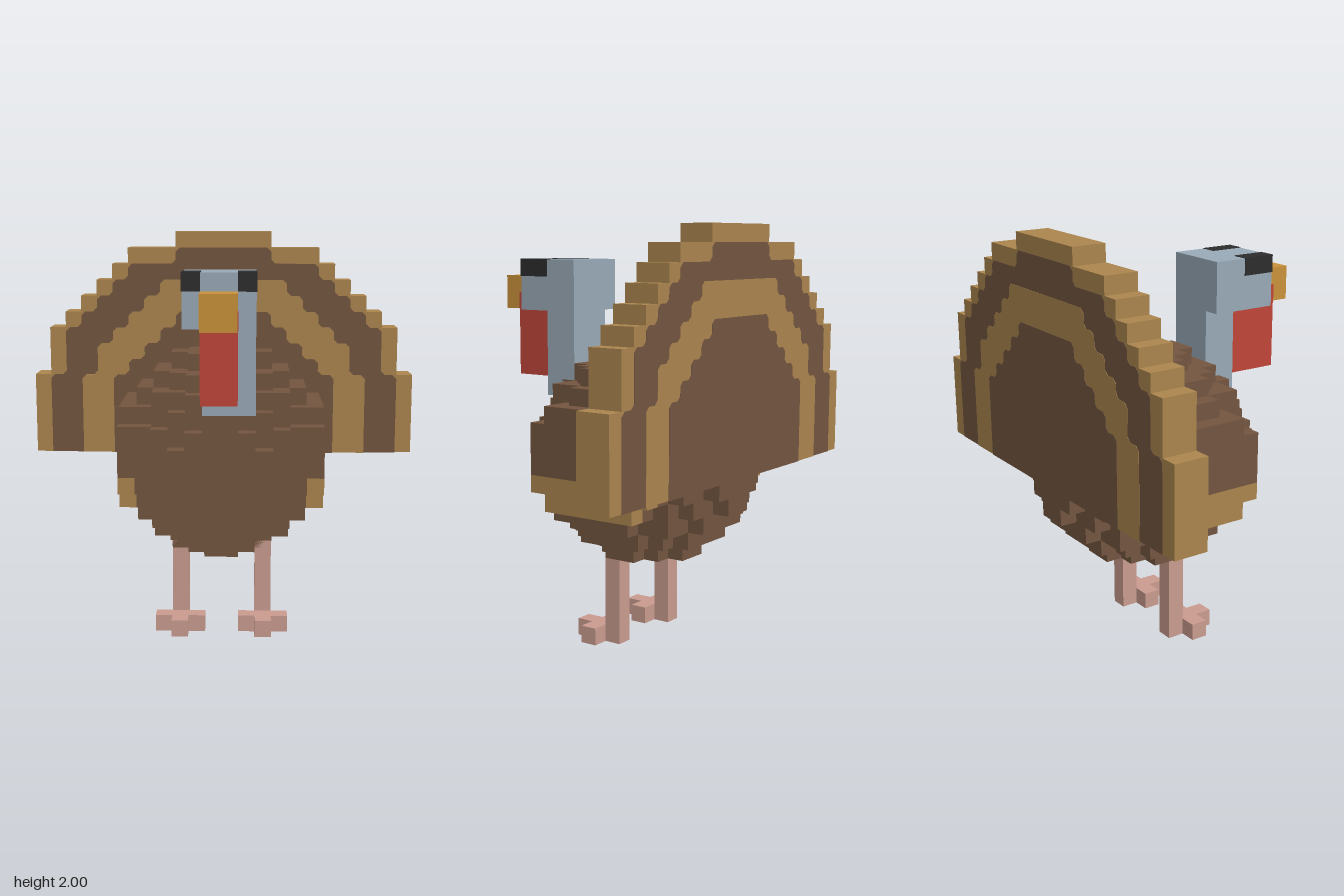
import * as THREE from 'three';
import { mergeGeometries } from 'three/addons/utils/BufferGeometryUtils.js';

const mat = (name, color) => {
  const m = new THREE.MeshStandardMaterial({ color });
  m.name = name;
  return m;
};

// Box between two corners, in blocks (12 blocks = 1 unit)
const block = (x0, x1, y0, y1, z0, z1) =>
  new THREE.BoxGeometry(x1 - x0, y1 - y0, z1 - z0)
    .translate((x0 + x1) / 2, (y0 + y1) / 2, (z0 + z1) / 2);

// Symmetric stepped outline from [halfWidth, topY] rows, with optional cut corners
function steppedShape(bottom, rows, cut) {
  const right = [];
  let y = bottom;
  for (const [w, top] of rows) {
    right.push([w, y], [w, top]);
    y = top;
  }
  const pts = [...right, ...right.map(([x, v]) => [-x, v]).reverse()]
    .map(([x, v]) => new THREE.Vector2(x, v));
  if (!cut) return new THREE.Shape(pts);
  const out = [];
  pts.forEach((p, i) => {
    if (p.y === bottom) return out.push(p);
    for (const q of [pts[(i + pts.length - 1) % pts.length], pts[(i + 1) % pts.length]]) {
      out.push(p.clone().add(q.clone().sub(p).setLength(cut)));
    }
  });
  return new THREE.Shape(out);
}

export function createModel() {
  const brown = mat('brown feathers', 0x735540);
  const tan = mat('tan feathers', 0xaa854e);
  const grey = mat('blue grey skin', 0x98a9b6);
  const red = mat('red wattle', 0xbf453a);
  const orange = mat('orange beak', 0xc9913a);
  const black = mat('black eyes', 0x2d2d2d);
  const pink = mat('pink legs', 0xc99b8f);

  const model = new THREE.Group();
  model.name = 'turkey';
  model.scale.setScalar(1 / 12);
  const add = (name, geometries, material) => {
    const list = [].concat(geometries);
    const mesh = new THREE.Mesh(list.length > 1 ? mergeGeometries(list) : list[0], material);
    mesh.name = name;
    model.add(mesh);
  };

  // Body: a ball of blocks, one bar per row
  const bars = [];
  for (let j = -6; j < 6; j++) {
    for (let k = -6; k < 6; k++) {
      const left = 37.6 - (j + 0.5) ** 2 - (k + 0.5) ** 2;
      if (left < 0.25 || (k < -4 && j >= -1)) continue;
      const w = Math.min(5, Math.floor(Math.sqrt(left) + 0.5));
      bars.push(block(-w, w, j + 11, j + 12, k - 2, k - 1));
    }
  }
  add('body', bars, brown);

  // Wings: flat side layers with a tan lower edge
  for (const s of [-1, 1]) {
    const [a, b] = s > 0 ? [5, 6] : [-6, -5];
    const side = s > 0 ? 'left' : 'right';
    add(side + 'Wing', [block(a, b, 10, 13, -6, 2), block(a, b, 13, 14, -5, 1)], brown);
    add(side + 'WingEdge', [block(a, b, 9, 10, -6, 2), block(a, b, 8, 9, -5, 1)], tan);
  }

  // Tail fan: nested bands, each slightly proud of the one outside it
  const bands = [
    ['tailRim', tan, 0, [[12, 15], [11, 18], [10, 19], [9, 20], [8, 21], [7, 22], [6, 23], [3, 24]]],
    ['tailOuterBand', brown, 0.25, [[11, 15], [10, 18], [9, 19], [8, 20], [7, 21], [6, 22], [3, 23]]],
    ['tailMiddleBand', tan, 0.25, [[9, 15], [8, 17], [7, 18], [6, 19], [5, 20], [4, 21]]],
    ['tailCentre', brown, 0.25, [[7, 15], [6, 16], [5, 17], [4, 18], [3, 19]]],
  ];
  bands.forEach(([name, material, cut, rows], i) => {
    const e = i * 0.02;
    const geo = new THREE.ExtrudeGeometry(steppedShape(10 - e, rows, cut),
      { depth: 2 + 2 * e, bevelEnabled: false });
    add(name, geo.translate(0, 0, -8 - e), material);
  });

  // Legs with cross-shaped feet
  for (const s of [-1, 1]) {
    const side = s > 0 ? 'left' : 'right', c = 2.5 * s;
    add(side + 'Leg', block(c - 0.5, c + 0.5, 1, 5.5, -2, -1), pink);
    add(side + 'Foot', [
      block(c - 0.5, c + 0.5, 0, 1, -2, 1),
      block(c - 1.5, c - 0.5, 0, 1, -1, 0),
      block(c + 0.5, c + 1.5, 0, 1, -1, 0),
    ], pink);
  }

  // Neck, set off to one side, and head
  add('neck', block(-1, 2, 14, 19, 2, 4), grey);
  add('head', block(-2, 2, 19, 22, 2, 6), grey);

  // Eyes wrap the upper front corners of the head
  for (const s of [-1, 1]) {
    const e = 0.03, a = s > 0 ? 1 : -2 - e;
    add(s > 0 ? 'leftEye' : 'rightEye', block(a, a + 1 + e, 21, 22 + e, 4, 6 + e), black);
  }

  // Beak, wattle, and the red patch at the beak's sides
  add('beak', block(-1, 1, 19, 21, 6, 8), orange);
  add('wattle', block(-1, 1, 15, 19, 4, 7), red);
  for (const s of [-1, 1]) {
    add(s > 0 ? 'leftBeakPatch' : 'rightBeakPatch',
      block(s - 0.03, s + 0.03, 19, 20, 6, 7), red);
  }

  const root = new THREE.Group();
  root.name = 'turkeyModel';
  root.add(model);
  return root;
}
